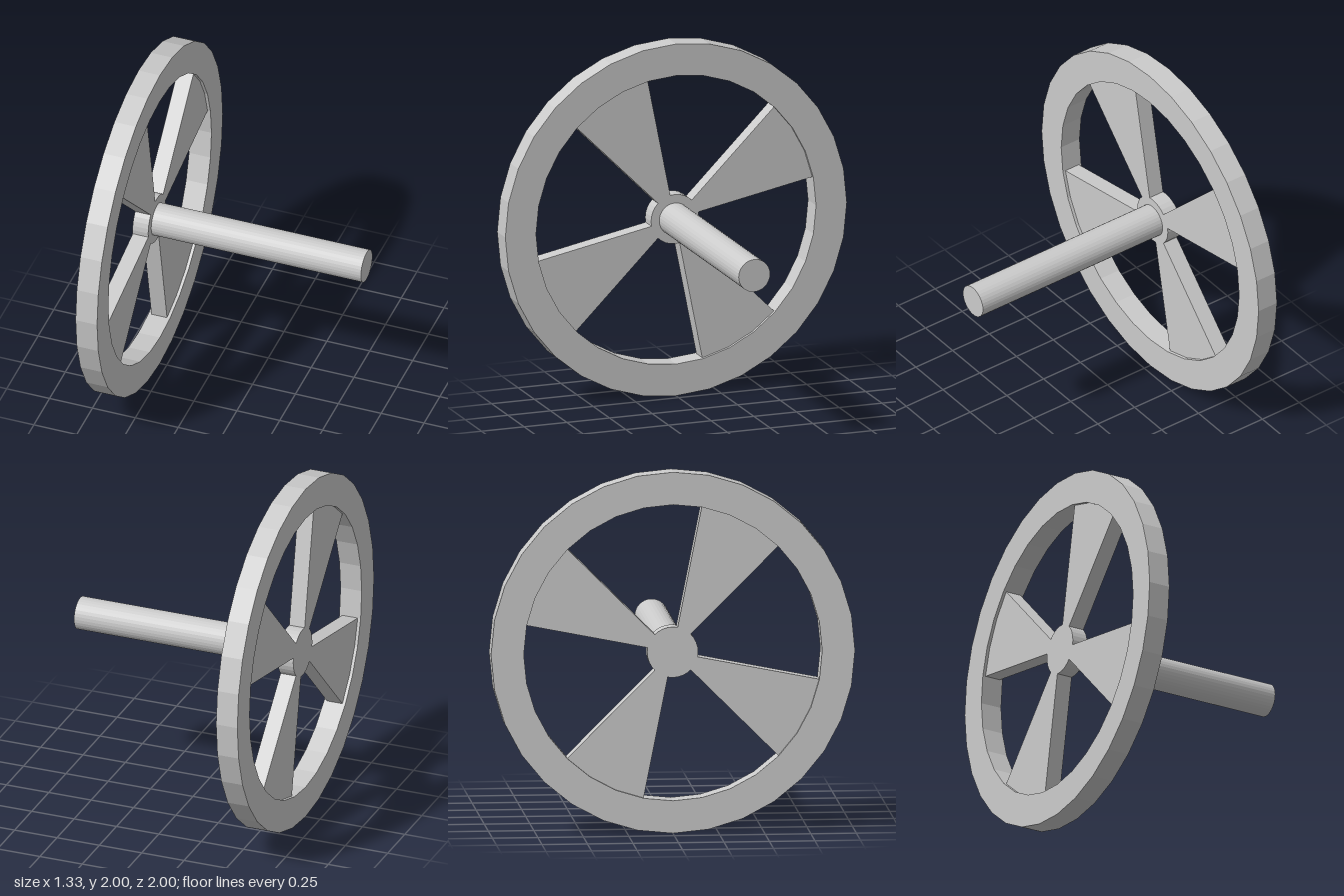
import * as THREE from 'three';

const SIDES = 32;
const STEP = (Math.PI * 2) / SIDES;
const AXLE_Y = 1;

const polar = (r, i) => new THREE.Vector2(r * Math.cos(i * STEP), r * Math.sin(i * STEP));
const ring = (r) => Array.from({ length: SIDES }, (_, i) => polar(r, i));

export function createModel() {
  const group = new THREE.Group();
  const material = new THREE.MeshStandardMaterial({ color: 0xcccccc, flatShading: true });

  const add = (name, geometry) => {
    const mesh = new THREE.Mesh(geometry, material);
    mesh.name = name;
    mesh.position.y = AXLE_Y;
    group.add(mesh);
  };

  // Extrude a wheel outline along x, from x0 to x1
  const slab = (shape, x0, x1) =>
    new THREE.ExtrudeGeometry(shape, { depth: x1 - x0, bevelEnabled: false })
      .rotateY(Math.PI / 2)
      .translate(x0, 0, 0);

  // Faceted rim
  const rim = new THREE.Shape(ring(1));
  rim.holes.push(new THREE.Path(ring(0.82)));
  add('rim', slab(rim, -0.665, -0.54));

  // Hub and four wedge spokes in one outline, slightly thinner than the rim
  const outline = [];
  for (let k = 0; k < 4; k++) {
    for (let i = 1; i <= 4; i++) outline.push(polar(0.82, k * 8 + i));
    for (let i = 4; i <= 9; i++) outline.push(polar(0.14, k * 8 + i));
  }
  add('hubAndSpokes', slab(new THREE.Shape(outline), -0.648, -0.557));

  // Axle shaft, standing out from the hub
  const length = 0.665 + 0.557;
  add('shaft', new THREE.CylinderGeometry(0.092, 0.092, length, SIDES)
    .rotateZ(-Math.PI / 2)
    .translate(0.665 - length / 2, 0, 0));

  return group;
}
